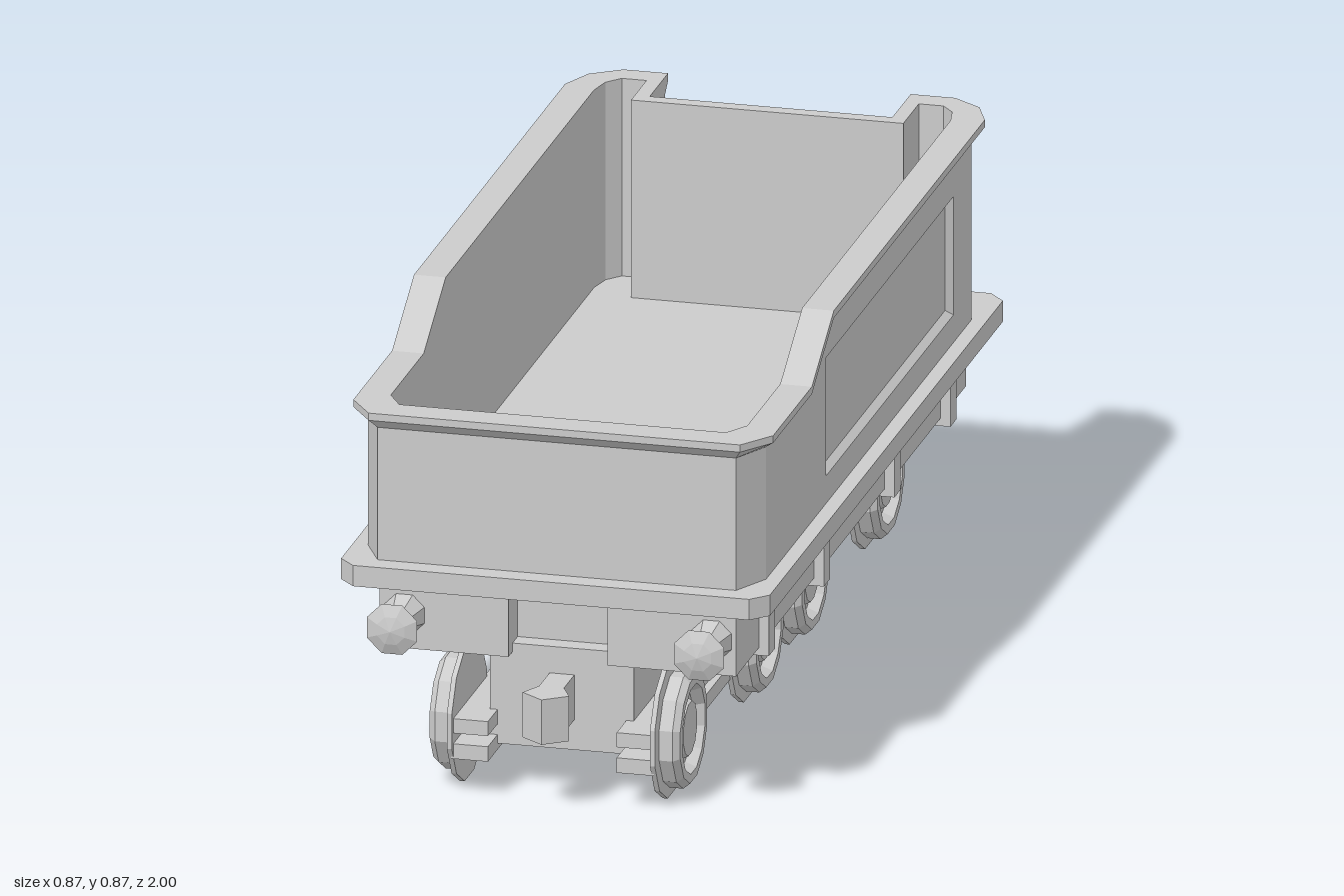
import * as THREE from 'three';

const mat = new THREE.MeshStandardMaterial({ color: 0xcccccc, flatShading: true });

function add(parent, name, geo, x = 0, y = 0, z = 0) {
  const m = new THREE.Mesh(geo, mat);
  m.name = name;
  m.position.set(x, y, z);
  parent.add(m);
  return m;
}

// Box given by its limits on each axis
function block(parent, name, x0, x1, y0, y1, z0, z1) {
  return add(parent, name, new THREE.BoxGeometry(x1 - x0, y1 - y0, z1 - z0),
    (x0 + x1) / 2, (y0 + y1) / 2, (z0 + z1) / 2);
}

// Horizontal slab from a plan outline of [x, z] points
function slab(points, y0, y1) {
  const shape = new THREE.Shape(points.map(([x, z]) => new THREE.Vector2(x, -z)));
  const geo = new THREE.ExtrudeGeometry(shape, { depth: y1 - y0, bevelEnabled: false });
  return geo.rotateX(-Math.PI / 2).translate(0, y0, 0);
}

// Top edge of the tub: low at the front, sloping up to the rear
const topAt = z => 0.772 + 0.1 * THREE.MathUtils.clamp((0.53 - z) / 0.17, 0, 1);

// Open tub with flared rim, rear notch and recessed side panels
function tubGeometry() {
  // body x, z, rim x, z, inner x, z (one side, front to back)
  const half = [
    [0.362, 0.88, 0.375, 0.9, 0.33, 0.835],
    [0.402, 0.8, 0.424, 0.83, 0.36, 0.785],
    [0.402, 0.53, 0.424, 0.53, 0.36, 0.53],
    [0.402, 0.36, 0.424, 0.36, 0.36, 0.36],
    [0.402, 0.337, 0.424, 0.337, 0.36, 0.337],
    [0.402, -0.652, 0.424, -0.652, 0.36, -0.652],
    [0.402, -0.79, 0.424, -0.81, 0.36, -0.79],
    [0.38, -0.86, 0.395, -0.88, 0.35, -0.84],
    [0.33, -0.9, 0.335, -0.922, 0.325, -0.87],
    [0.245, -0.9, 0.245, -0.922, 0.275, -0.87],
    [0.245, -0.78, 0.245, -0.78, 0.275, -0.75],
  ];
  const mirrored = half.map(([a, b, c, d, e, f]) => [-a, b, -c, d, -e, f]).reverse();
  const columns = [...half, ...mirrored].map(([bx, bz, rx, rz, ix, iz]) => {
    const t = topAt(bz), v = (x, y, z) => new THREE.Vector3(x, y, z);
    return [v(bx, 0.46, bz), v(bx, 0.52, bz), v(bx, Math.min(0.765, t - 0.04), bz),
      v(bx, t - 0.035, bz), v(rx, t - 0.015, rz), v(rx, t, rz), v(ix, t, iz), v(ix, 0.46, iz)];
  });
  const pos = [];
  const quad = (a, b, c, d) => [a, b, c, a, c, d].forEach(p => pos.push(p.x, p.y, p.z));
  const n = columns.length;
  for (let i = 0; i < n; i++) {
    const A = columns[i], B = columns[(i + 1) % n];
    for (let r = 0; r < A.length - 1; r++) {
      const c = [A[r], B[r], B[r + 1], A[r + 1]];
      if (r === 1 && Math.abs(A[0].z - B[0].z) > 0.9) {
        // recessed panel with bevelled border
        const mid = new THREE.Vector3().add(c[0]).add(c[2]).multiplyScalar(0.5);
        const inner = c.map(p => new THREE.Vector3(p.x - Math.sign(p.x) * 0.014,
          p.y + Math.sign(mid.y - p.y) * 0.012, p.z + Math.sign(mid.z - p.z) * 0.012));
        for (let k = 0; k < 4; k++) quad(c[k], c[(k + 1) % 4], inner[(k + 1) % 4], inner[k]);
        quad(...inner);
      } else quad(...c);
    }
  }
  const geo = new THREE.BufferGeometry();
  geo.setAttribute('position', new THREE.Float32BufferAttribute(pos, 3));
  geo.computeVertexNormals();
  return geo;
}

// Lathe about the x axis (wheels) or the z axis (buffers); points are [radius, distance]
function turned(points, sides, axis) {
  const geo = new THREE.LatheGeometry(points.map(p => new THREE.Vector2(...p)), sides, Math.PI / sides);
  return axis === 'x' ? geo.rotateZ(-Math.PI / 2) : geo.rotateX(Math.PI / 2);
}

export function createModel() {
  const g = new THREE.Group();
  g.name = 'tenderWagon';

  add(g, 'tub', tubGeometry());
  add(g, 'deck', slab([[-0.4, 0.925], [0.4, 0.925], [0.433, 0.89], [0.433, -0.915],
    [0.4, -0.953], [-0.4, -0.953], [-0.433, -0.915], [-0.433, 0.89]], 0.42, 0.463));

  // Rear door with handrails, between two lockers
  block(g, 'rearDoor', -0.125, 0.125, 0.49, 0.81, -0.815, -0.775);
  for (const y of [0.58, 0.785]) block(g, 'doorRail', -0.11, 0.11, y, y + 0.018, -0.83, -0.81);

  // Underframe with recessed centre at both ends
  block(g, 'underframeCore', -0.105, 0.105, 0.288, 0.425, -0.85, 0.8);
  block(g, 'centreFrame', -0.145, 0.145, 0.14, 0.3, -0.87, 0.84);

  const wheelZ = [0.79, 0.2, -0.155, -0.74];
  for (const z of wheelZ) block(g, 'axleBeam', -0.145, 0.145, 0.09, 0.145, z - 0.07, z + 0.05);

  const wheel = turned([[0, 0], [0.141, 0], [0.141, 0.01], [0.119, 0.013], [0.119, 0.04], [0.108, 0.053],
    [0.09, 0.053], [0.08, 0.03], [0.063, 0.03], [0.055, 0.046], [0, 0.046]], 12, 'x');
  const buffer = turned([[0, 0.118], [0.03, 0.111], [0.055, 0.1], [0.05, 0.092], [0.025, 0.068],
    [0.028, 0.05], [0.045, 0], [0, 0]].reverse(), 8, 'z');

  for (const s of [1, -1]) {
    const side = new THREE.Group();
    side.name = s > 0 ? 'leftSide' : 'rightSide';
    g.add(side);
    const span = (name, a, b, ...rest) => block(side, name, Math.min(s * a, s * b), Math.max(s * a, s * b), ...rest);

    span('rearLocker', 0.165, 0.25, 0.46, 0.74, -0.84, -0.775);
    span('sideFrame', 0.1, 0.36, 0.282, 0.425, -0.91, 0.872);

    // Brackets with an inward foot
    for (const z of [0.672, 0.245, -0.302, -0.735]) {
      span('bracket', 0.355, 0.38, 0.266, 0.422, z - 0.023, z + 0.023);
      span('bracketFoot', 0.235, 0.375, 0.266, 0.284, z - 0.023, z + 0.023);
    }

    // Wheels, joined in pairs by double bars
    for (const z of wheelZ) {
      const w = add(side, 'wheel', wheel, s * 0.2, 0.137, z);
      if (s < 0) w.rotation.y = Math.PI;
    }
    for (const [z0, z1] of [[0.04, 0.915], [-0.905, -0.03]]) {
      span('lowerBar', 0.13, 0.205, 0.077, 0.108, z0, z1);
      span('upperBar', 0.13, 0.205, 0.13, 0.16, z0, z1);
    }

    add(side, 'frontBuffer', buffer, s * 0.31, 0.353, 0.868);
    add(side, 'rearBuffer', buffer, s * 0.31, 0.353, -0.876).rotation.y = Math.PI;
  }

  // Pointed couplings at each end
  const coupling = slab([[-0.025, 0.8], [0.025, 0.8], [0.025, 0.92], [0.047, 0.965], [0, 1],
    [-0.047, 0.965], [-0.025, 0.92]], 0, 0.093);
  add(g, 'frontCoupling', coupling, 0, 0.152, 0);
  add(g, 'rearCoupling', coupling, 0, 0.204, 0).rotation.y = Math.PI;

  return g;
}
